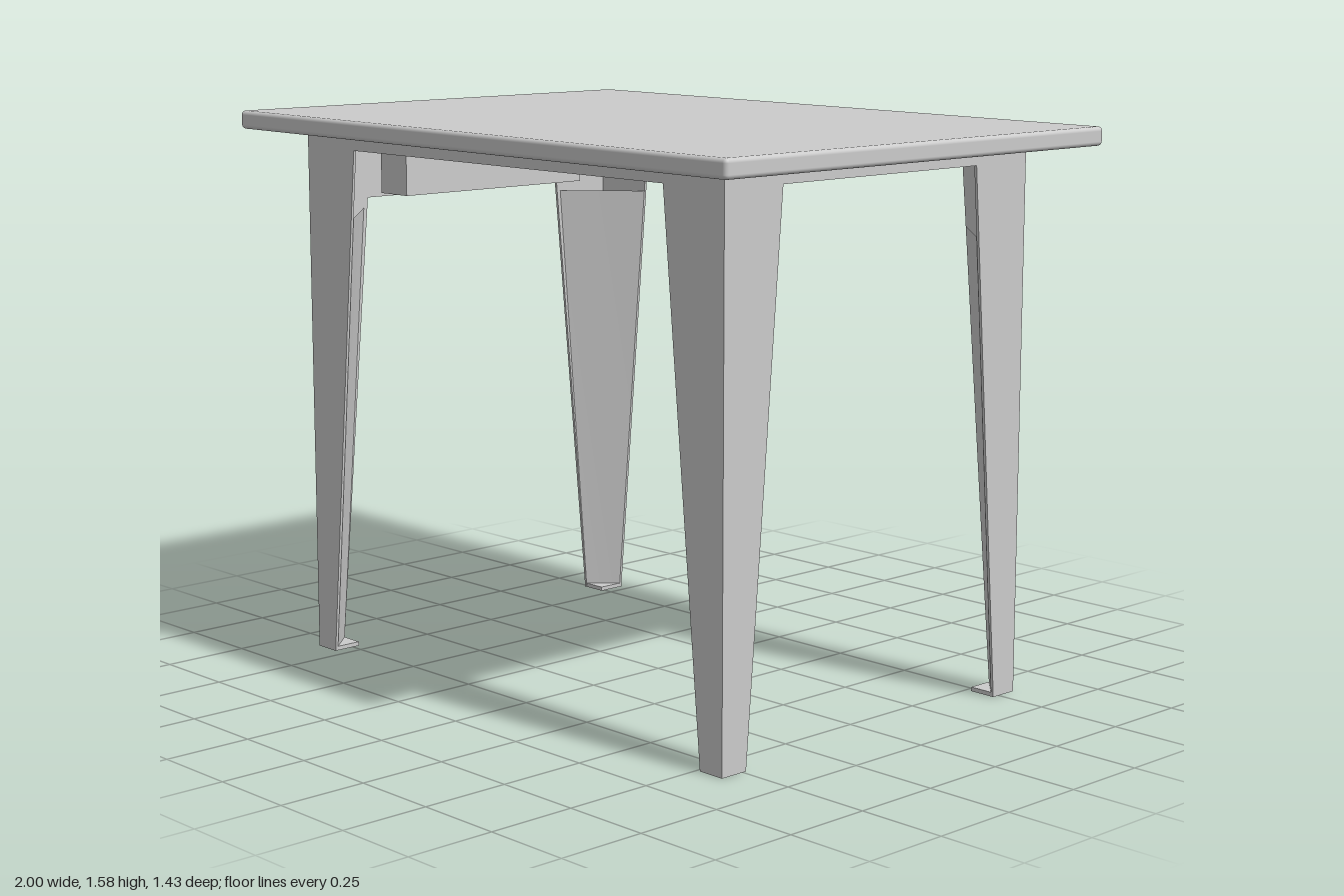
import * as THREE from 'three';
import { RoundedBoxGeometry } from 'three/addons/geometries/RoundedBoxGeometry.js';

const mat = new THREE.MeshStandardMaterial({ color: 0xcccccc, side: THREE.DoubleSide });
const TOP = 1.53;      // underside of the table top
const T = 0.008;       // sheet thickness
const HX = 0.855, HZ = 0.568;                // outer half sizes of the frame
const FOOT_X = 0.775, FOOT_Z = 0.483;        // inner edge of legs at the floor
const KNEE_X = 0.637, KNEE_Z = 0.365;        // inner edge of legs at the apron
const APRON_Y = 1.482;

function add(parent, name, geometry, x = 0, y = 0, z = 0) {
  const mesh = new THREE.Mesh(geometry, mat);
  mesh.name = name;
  mesh.position.set(x, y, z);
  parent.add(mesh);
  return mesh;
}

const shapeOf = points => new THREE.Shape(points.map(([x, y]) => new THREE.Vector2(x, y)));

// One folded sheet: two tapered leg faces joined by an apron
function sideSheet(half, foot, knee, apronY, holes = []) {
  const s = shapeOf([
    [-half, 0], [-foot, 0], [-knee, apronY], [knee, apronY],
    [foot, 0], [half, 0], [half, TOP], [-half, TOP],
  ]);
  for (const [x, y, r] of holes) {
    s.holes.push(new THREE.Path().absarc(x, y, r, 0, Math.PI * 2, true));
  }
  return new THREE.ExtrudeGeometry(s, { depth: T, bevelEnabled: false, curveSegments: 20 });
}

// Diagonal plate closing the inside of a leg
function innerPlate(sx, sz) {
  const h = 1.29, k = h / APRON_Y;
  const x1 = THREE.MathUtils.lerp(FOOT_X, KNEE_X, k);
  const z1 = THREE.MathUtils.lerp(FOOT_Z, KNEE_Z, k);
  const g = new THREE.BufferGeometry();
  g.setAttribute('position', new THREE.Float32BufferAttribute([
    sx * FOOT_X, 0, sz * (HZ - T), sx * (HX - T), 0, sz * FOOT_Z,
    sx * (HX - T), h, sz * z1, sx * x1, h, sz * (HZ - T),
  ], 3));
  g.setIndex(sx * sz > 0 ? [0, 2, 1, 0, 3, 2] : [0, 1, 2, 0, 2, 3]);
  g.computeVertexNormals();
  return g;
}

export function createModel() {
  const model = new THREE.Group();
  model.name = 'table';
  model.rotation.y = -0.007;

  // Table top, sagging very slightly to one side
  add(model, 'tableTop', new RoundedBoxGeometry(1.99, 0.052, 1.42, 3, 0.012), 0, 1.554, 0)
    .rotation.z = -0.004;

  const frame = new THREE.Group();
  frame.name = 'frame';
  frame.position.x = -0.01;
  model.add(frame);

  // Long sheets, front and back, each with a folded lip along the apron
  for (const s of [-1, 1]) {
    add(frame, s > 0 ? 'frontSheet' : 'backSheet',
      sideSheet(HX, FOOT_X, KNEE_X, APRON_Y), 0, 0, s > 0 ? HZ - T : -HZ);
    add(frame, 'apronLip', new THREE.BoxGeometry(2 * KNEE_X, TOP - APRON_Y, 0.05),
      0, (TOP + APRON_Y) / 2, s * (HZ - T - 0.025));
  }

  // Short sheets; the right one is deeper and carries the sockets
  const sockets = [-0.06, 0.1, 0.26];
  const socketY = 1.41, socketR = 0.046;
  add(frame, 'leftSheet', sideSheet(HZ, FOOT_Z, KNEE_Z, APRON_Y), HX - T, 0, 0)
    .rotation.y = Math.PI / 2;
  add(frame, 'rightSheet', sideSheet(HZ, FOOT_Z, KNEE_Z, 1.32,
    sockets.map(z => [z, socketY, socketR])), -HX + T, 0, 0).rotation.y = -Math.PI / 2;

  // Legs: inner plate, foot and corner block
  for (const sx of [-1, 1]) for (const sz of [-1, 1]) {
    add(frame, 'legInnerPlate', innerPlate(sx, sz));
    add(frame, 'foot', new THREE.BoxGeometry(0.08, 0.012, 0.085),
      sx * (HX - 0.04), 0.006, sz * (HZ - 0.0425));
    add(frame, 'cornerBlock', new THREE.CylinderGeometry(0.05, 0.05, 0.07, 6),
      sx * (HX - 0.06), 1.495, sz * (HZ - 0.06));
  }

  // Socket housing behind the right apron
  add(frame, 'socketHousing', new THREE.BoxGeometry(0.12, 0.142, 0.67), -0.77, 1.403, -0.008);
  for (const z of sockets) {
    add(frame, 'socketRim', new THREE.TorusGeometry(socketR, 0.006, 8, 28), -HX, socketY, z)
      .rotation.y = Math.PI / 2;
    add(frame, 'socketPin', new THREE.CylinderGeometry(0.014, 0.014, 0.025, 16), -HX + 0.02, socketY, z)
      .rotation.z = Math.PI / 2;
  }
  // Hinged cover standing slightly open over the first socket
  add(frame, 'socketCover', new THREE.CylinderGeometry(0.045, 0.045, 0.008, 24),
    -HX - 0.014, socketY, sockets[0]).rotation.z = Math.PI / 2 + 0.25;

  // Stiffening rail below the top, with sloped ends
  const rail = shapeOf([[-0.72, 1.53], [-0.68, 1.484], [0.69, 1.484], [0.75, 1.53]]);
  add(model, 'stiffeningRail',
    new THREE.ExtrudeGeometry(rail, { depth: 0.08, bevelEnabled: false }), 0, 0, -0.07);

  return model;
}
